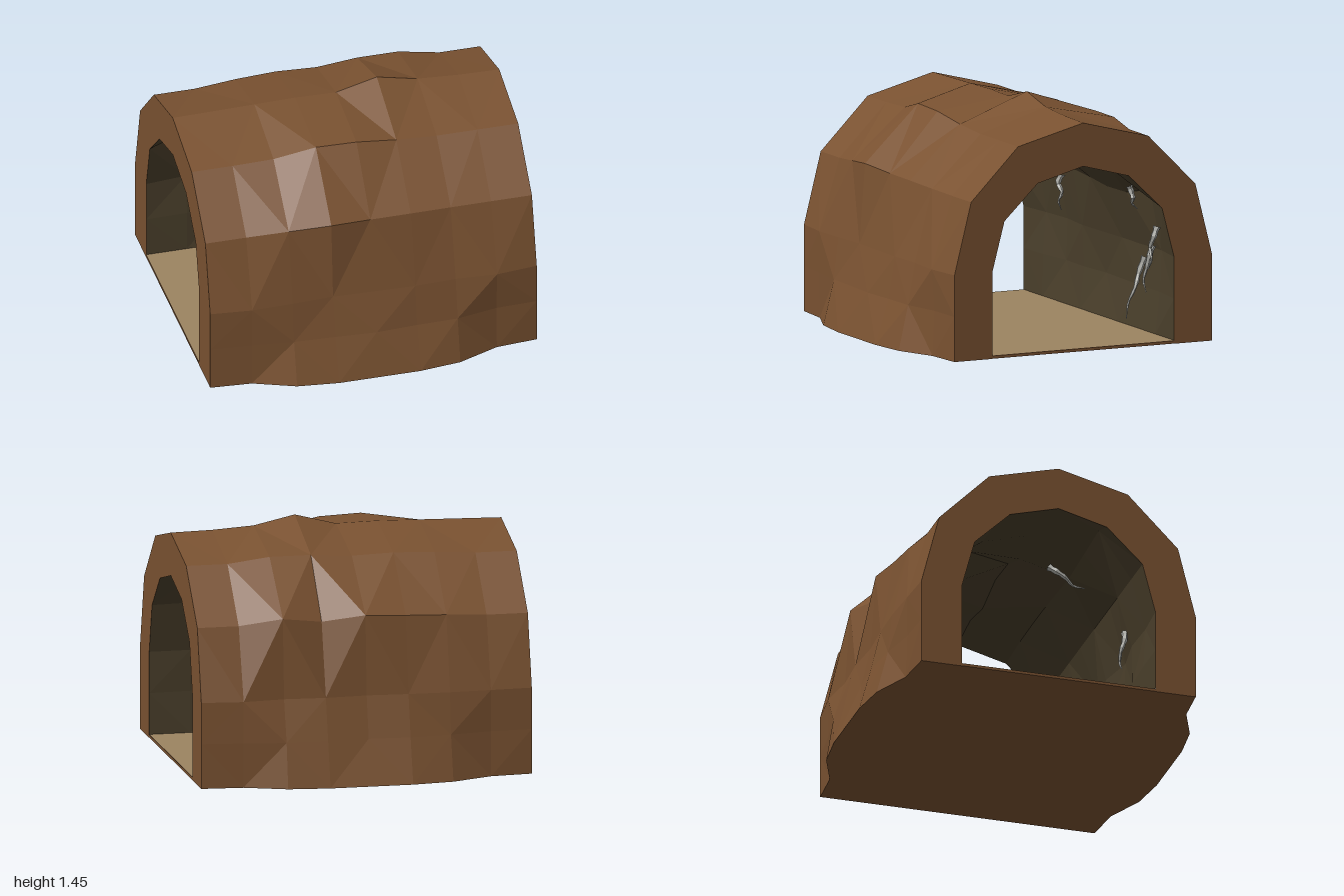
import * as THREE from 'three';

const N = 9; // stations along the tunnel
const stationX = (i) => -1 + i * 0.25;

// small seeded noise, 0..1
function noise(i, j, k) {
  const s = Math.sin(i * 127.1 + j * 311.7 + k * 74.7) * 43758.5453;
  return s - Math.floor(s);
}

// outward bulge per station
const base = [0, 0.02, 0.12, 0.15, 0.15, 0.15, 0.12, 0.02, 0];
const frontKnee = [0, 0, 0.04, 0.08, 0.04, 0.03, 0.01, 0, 0];
const backKnee = [0, 0, 0.03, 0.05, 0.08, 0.01, 0.08, 0, 0];
const frontShoulder = [0, 0, 0.005, 0.04, 0.035, 0.012, 0, 0, 0];
const backShoulder = [0, 0, 0.01, 0.015, 0.01, 0.02, 0.02, 0, 0];
const ridge = [1.37, 1.375, 1.38, 1.385, 1.38, 1.445, 1.39, 1.375, 1.37];

// outer cross-section from front base over the ridge to back base, as [z, y]
function outerSection(i) {
  const side = (s, knee, shoulder) => {
    const inner = i > 0 && i < N - 1 ? 1 : 0;
    const n1 = inner * 0.05 * noise(i, s, 1);
    const n2 = inner * 0.03 * noise(i, s, 2);
    return [
      [s * (0.85 + base[i]), 0],
      [s * (0.85 + base[i] * 0.4 + n1 * 0.6), 0.27],
      [s * (0.85 + n2), 0.52],
      [s * (0.74 + knee[i]), 0.95 + knee[i] * 0.6],
      [s * (0.43 + shoulder[i]), 1.26 + shoulder[i] * 1.8],
    ];
  };
  return [
    ...side(1, frontKnee, frontShoulder),
    [0, ridge[i]],
    ...side(-1, backKnee, backShoulder).reverse(),
  ];
}

// inner cross-section, pushed outward a little between the ends
function innerSection(i) {
  const half = [[0.6, 0.02], [0.6, 0.27], [0.6, 0.52], [0.52, 0.82], [0.3, 1.03]];
  const pts = [...half, [0, 1.11], ...half.map(([z, y]) => [-z, y]).reverse()];
  return pts.map(([z, y], j) => {
    const free = i > 0 && i < N - 1 && j > 0 && j < pts.length - 1;
    const k = free ? 1 + 0.09 * noise(i, j, 5) : 1;
    return [z * k, j > 2 && j < 8 ? y * k : y];
  });
}

// faceted skin through all the cross-sections
function skin(section, inward) {
  const grid = Array.from({ length: N }, (_, i) =>
    section(i).map(([z, y]) => [stationX(i), y, z]));
  const pos = [];
  const tri = (a, b, c) => pos.push(...a, ...(inward ? c : b), ...(inward ? b : c));
  for (let i = 0; i < N - 1; i++) {
    for (let j = 0; j < grid[0].length - 1; j++) {
      const a = grid[i][j], b = grid[i + 1][j], c = grid[i + 1][j + 1], d = grid[i][j + 1];
      if ((i + j) % 2) { tri(a, b, c); tri(a, c, d); }
      else { tri(a, b, d); tri(b, c, d); }
    }
  }
  const g = new THREE.BufferGeometry();
  g.setAttribute('position', new THREE.Float32BufferAttribute(pos, 3));
  g.computeVertexNormals();
  return g;
}

// tapered, wavy faceted root hanging from (x, y, z) to an end point
function rootGeometry(from, to, seed) {
  const start = new THREE.Vector3(...from), end = new THREE.Vector3(...to);
  const pts = [];
  for (let k = 0; k <= 4; k++) {
    const p = start.clone().lerp(end, k / 4);
    if (k > 0) p.x += (noise(seed, k, 9) - 0.5) * 0.06;
    if (k > 0 && k < 4) p.z -= Math.sign(p.z) * 0.02 * noise(seed, k, 3);
    pts.push(p);
  }
  const curve = new THREE.CatmullRomCurve3(pts);
  const seg = 10, sides = 5;
  const g = new THREE.TubeGeometry(curve, seg, 0.022, sides, false);
  const p = g.attributes.position, v = new THREE.Vector3();
  for (let r = 0; r <= seg; r++) {
    const c = curve.getPointAt(r / seg);
    const k = (1 - 0.9 * r / seg) * (r % 2 ? 0.85 : 1.1);
    for (let s = 0; s <= sides; s++) {
      const n = r * (sides + 1) + s;
      v.fromBufferAttribute(p, n).sub(c).multiplyScalar(k).add(c);
      p.setXYZ(n, v.x, v.y, v.z);
    }
  }
  const flat = g.toNonIndexed();
  flat.computeVertexNormals();
  return flat;
}

export function createModel() {
  const model = new THREE.Group();
  const material = (name, color) => {
    const m = new THREE.MeshStandardMaterial({ color });
    m.name = name;
    return m;
  };
  const earth = material('brown earth', 0x7a5231);
  const rock = material('dark inner rock', 0x4a3f2b);
  const sand = material('sandy floor', 0x9c8461);
  const pale = material('pale root', 0xb8b8b2);
  const add = (name, geo, mat, parent = model) => {
    const mesh = new THREE.Mesh(geo, mat);
    mesh.name = name;
    parent.add(mesh);
    return mesh;
  };

  // mound and passage
  add('outerMound', skin(outerSection, false), earth);
  add('innerWall', skin(innerSection, true), rock);

  // arch faces at both ends
  const ring = [...outerSection(0), [-0.6, 0], ...innerSection(0).reverse(), [0.6, 0]];
  const arch = new THREE.ShapeGeometry(new THREE.Shape(ring.map(([z, y]) => new THREE.Vector2(z, y))));
  for (const s of [1, -1]) {
    const end = add(s > 0 ? 'rightArchFace' : 'leftArchFace', arch, earth);
    end.rotation.y = s * Math.PI / 2;
    end.position.x = s;
  }

  // floor: sill slab, sandy top and underside following the mound's outline
  add('floorSlab', new THREE.BoxGeometry(2, 0.017, 1.2), earth).position.y = 0.0095;
  const floor = add('floorTop', new THREE.PlaneGeometry(2, 1.2), sand);
  floor.rotation.x = -Math.PI / 2;
  floor.position.y = 0.02;
  const outline = [];
  for (let i = 0; i < N; i++) outline.push(new THREE.Vector2(stationX(i), 0.85 + base[i]));
  for (let i = N - 1; i >= 0; i--) outline.push(new THREE.Vector2(stationX(i), -0.85 - base[i]));
  const under = add('underside', new THREE.ShapeGeometry(new THREE.Shape(outline)), earth);
  under.rotation.x = Math.PI / 2;

  // roots growing from the walls and ceiling
  const roots = new THREE.Group();
  roots.name = 'roots';
  model.add(roots);
  [
    [[0.63, 0.47, -0.59], [0.62, 0.1, -0.48]],
    [[0.73, 0.55, -0.59], [0.70, 0.27, -0.55]],
    [[0.83, 0.68, -0.57], [0.81, 0.42, -0.54]],
    [[0.78, 0.93, -0.41], [0.76, 0.78, -0.48]],
    [[-0.35, 0.82, -0.53], [-0.37, 0.6, -0.53]],
    [[0.69, 0.82, 0.53], [0.68, 0.56, 0.54]],
    [[0.48, 0.73, 0.55], [0.46, 0.48, 0.55]],
    [[0.60, 0.46, 0.60], [0.60, 0.3, 0.57]],
    [[-0.46, 0.62, 0.58], [-0.47, 0.36, 0.55]],
    [[-0.3, 1.06, 0.16], [-0.32, 0.93, 0.37]],
  ].forEach(([from, to], n) => add('root' + (n + 1), rootGeometry(from, to, n + 1), pale, roots));

  return model;
}
